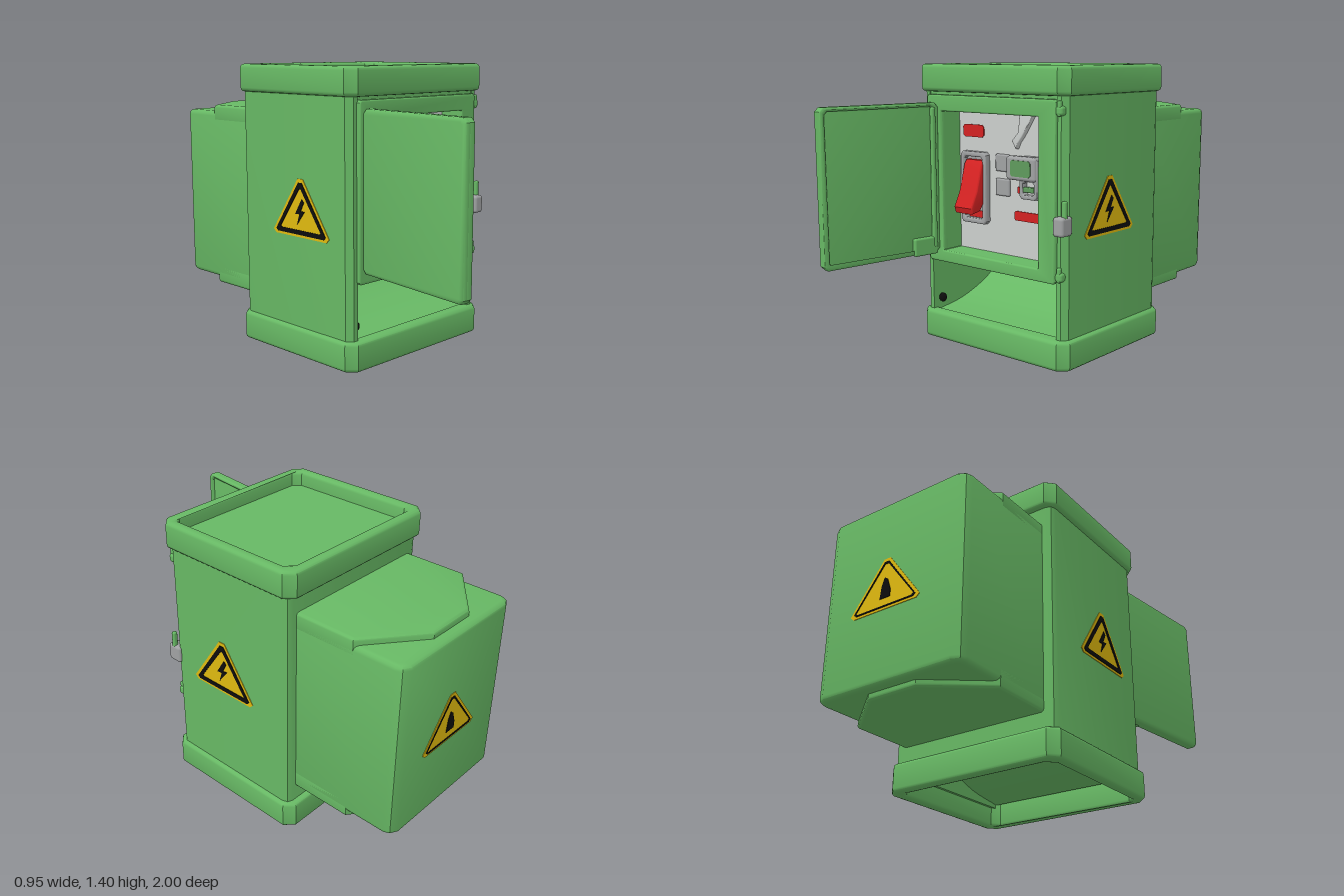
import * as THREE from 'three';
import { toCreasedNormals } from 'three/addons/utils/BufferGeometryUtils.js';
import { RoundedBoxGeometry } from 'three/addons/geometries/RoundedBoxGeometry.js';

const paint = (name, color) => {
  const m = new THREE.MeshStandardMaterial({ color });
  m.name = name;
  return m;
};

export function createModel() {
  const green = paint('green enamel', 0x67b864);
  const darkGreen = paint('screen green', 0x5f9a5c);
  const pale = paint('pale grey panel', 0xcbcfcd);
  const grey = paint('grey fittings', 0xa0a2a3);
  const red = paint('red', 0xd42222);
  const yellow = paint('warning yellow', 0xdfb90f);
  const black = paint('black', 0x0d0d0d);
  const model = new THREE.Group();

  const add = (name, geo, mat, parent = model) => {
    const m = new THREE.Mesh(geo, mat);
    m.name = name;
    parent.add(m);
    return m;
  };
  const toShape = (pts, hole) => {
    const s = new THREE.Shape(pts.map(p => new THREE.Vector2(...p)));
    if (hole) s.holes.push(new THREE.Path(hole.map(p => new THREE.Vector2(...p))));
    return s;
  };
  // Rectangle with cut corners
  const rect = (x0, x1, y0, y1, c = 0.01) => [
    [x0 + c, y0], [x1 - c, y0], [x1, y0 + c], [x1, y1 - c],
    [x1 - c, y1], [x0 + c, y1], [x0, y1 - c], [x0, y0 + c]];
  // Extrusion from z = 0 to depth, bevel kept inside the outline
  const extrude = (shape, depth, b = 0) => toCreasedNormals(
    new THREE.ExtrudeGeometry(shape, {
      depth: depth - 2 * b, bevelEnabled: b > 0, bevelSize: b, bevelThickness: b,
      bevelOffset: -b, bevelSegments: 3, curveSegments: 8,
    }).translate(0, 0, b), 0.65);
  // Plan outline (x, -z) raised from y0 to y1
  const prism = (name, shape, y0, y1, b = 0) =>
    add(name, extrude(shape, y1 - y0, b).rotateX(-Math.PI / 2).translate(0, y0, 0), green);
  // Front outline (x, y) between two depths
  const plate = (name, shape, z0, z1, mat, b = 0, parent = model) =>
    add(name, extrude(shape, z1 - z0, b).translate(0, 0, z0), mat, parent);
  const box = (name, w, h, d, x, y, z, mat, r = 0.008, parent = model) => {
    const m = add(name, new RoundedBoxGeometry(w, h, d, 2, r), mat, parent);
    m.position.set(x, y, z);
    return m;
  };

  // Cabinet shell: side and back walls, open at the front and below
  prism('cabinetWalls', toShape([
    [0.455, -0.31], [0.455, 0.385], [0.445, 0.41], [0.42, 0.42],
    [-0.42, 0.42], [-0.445, 0.41], [-0.455, 0.385], [-0.455, -0.31],
    [-0.43, -0.34], [-0.405, -0.34], [-0.405, 0.39], [0.405, 0.39], [0.405, -0.34], [0.43, -0.34],
  ]), 0.1, 1.3);

  // Base ring and cap ring with a deep sunken lid
  const ring = toShape(rect(-0.475, 0.475, -0.37, 0.45, 0.045), rect(-0.42, 0.42, -0.33, 0.395, 0.035));
  prism('baseRing', ring, 0, 0.145, 0.02);
  prism('capRing', ring, 1.265, 1.4, 0.02);
  prism('sunkenLid', toShape(rect(-0.435, 0.435, -0.345, 0.405, 0.035)), 1.28, 1.325);

  // Front face with window and the recess behind it
  const windowHole = rect(-0.31, 0.31, 0.47, 1.17, 0.002);
  plate('frontFace', toShape(rect(-0.415, 0.415, 0.41, 1.28, 0.002), windowHole), 0.31, 0.335, green);
  plate('frontFrame', toShape(rect(-0.41, 0.41, 0.41, 1.25, 0.012), windowHole), 0.32, 0.36, green, 0.008);
  plate('recessWalls', toShape(rect(-0.4, 0.4, 0.42, 1.2), windowHole), 0.22, 0.325, green);
  box('panel', 0.64, 0.72, 0.02, 0, 0.82, 0.22, pale, 0.002);

  // Sloping inner sheet seen through the lower opening
  const curve = new THREE.CatmullRomCurve3([[0.33, 0.13], [0.1, 0.17], [-0.12, 0.28], [-0.22, 0.46]]
    .map(([z, y]) => new THREE.Vector3(-z, y, 0))).getPoints(14);
  const sheet = [...curve.map(p => [p.x, p.y]), ...curve.reverse().map(p => [p.x + 0.012, p.y - 0.012])];
  add('innerSlope', extrude(toShape(sheet), 0.82).rotateY(Math.PI / 2).translate(-0.41, 0, 0), green);
  const cable = add('cableEnd', new THREE.SphereGeometry(0.02, 12, 8), black);
  cable.position.set(-0.38, 0.2, 0.3);
  cable.scale.set(1, 1.2, 1);

  // Rear housing with raised top and bottom plates
  prism('rearHousing', toShape([[-0.4, 0.4], [0.4, 0.4], [0.4, 0.944], [0.388, 0.974], [0.35, 0.994],
    [-0.35, 0.994], [-0.388, 0.974], [-0.4, 0.944]]), 0.252, 1.148, 0.025);
  const raised = toShape([[-0.4, 0.4], [0.4, 0.4], [0.4, 0.73], [0.13, 0.94], [-0.13, 0.94], [-0.4, 0.73]]);
  prism('rearTopPlate', raised, 1.09, 1.182, 0.015);
  prism('rearBottomPlate', raised, 0.222, 0.32, 0.015);

  // Open door: slab with a raised rim on its inner side
  const door = new THREE.Group();
  door.name = 'door';
  door.position.set(-0.36, 0, 0.355);
  door.rotation.y = -0.13;
  model.add(door);
  const leaf = (name, shape, x, t, b) =>
    add(name, extrude(shape, t, b).rotateY(-Math.PI / 2).translate(x, 0, 0), green, door);
  const doorOutline = rect(0, 0.651, 0.46, 1.212, 0.02);
  leaf('doorSlab', toShape(doorOutline), 0.015, 0.045, 0.018);
  leaf('doorRim', toShape(doorOutline, rect(0.03, 0.625, 0.48, 1.192, 0.015)), 0.03, 0.04, 0.01);
  box('doorBracket', 0.03, 0.09, 0.14, 0.025, 0.5, 0.09, green, 0.01, door);
  box('doorSeal', 0.025, 0.7, 0.025, 0.03, 0.84, 0.035, green, 0.01, door);

  // Corner knuckles and latch on the closing side
  for (const y of [0.445, 1.2]) {
    box('knuckle', 0.04, 0.045, 0.045, 0.425, y, 0.335, green, 0.015);
    box('knucklePin', 0.022, 0.07, 0.022, 0.425, y + 0.01, 0.345, green, 0.008);
  }
  box('latch', 0.06, 0.09, 0.08, 0.44, 0.683, 0.34, grey, 0.015);
  box('latchLever', 0.025, 0.1, 0.022, 0.455, 0.75, 0.345, green, 0.008);

  // Switch with tilted lever in a grey frame
  plate('switchFrame', toShape(rect(-0.275, -0.105, 0.61, 0.97, 0.015), rect(-0.25, -0.13, 0.635, 0.945)),
    0.225, 0.265, grey, 0.008);
  box('switchBed', 0.13, 0.32, 0.012, -0.19, 0.79, 0.232, grey, 0.003);
  box('switchLabel', 0.1, 0.035, 0.008, -0.188, 0.655, 0.238, red, 0.003);
  const lever = [[0.235, 0.93], [0.235, 0.75], [0.285, 0.68], [0.34, 0.67], [0.35, 0.7], [0.31, 0.78], [0.275, 0.91], [0.26, 0.93]];
  add('switchLever', extrude(toShape(lever.map(([z, y]) => [-z, y])), 0.12, 0.008)
    .rotateY(Math.PI / 2).translate(-0.24, 0, 0), red);

  // Labels, buttons and the meter
  const z = 0.231;
  plate('upperLabel', toShape(rect(-0.28, -0.14, 1.04, 1.102, 0.012)), z, z + 0.005, red);
  plate('lowerLabel', toShape(rect(0.06, 0.242, 0.651, 0.697, 0.008)), z, z + 0.005, red);
  plate('smallLabel', toShape(rect(0.08, 0.118, 0.785, 0.817, 0.004)), z, z + 0.005, red);
  for (const y of [0.925, 0.805]) box('button', 0.09, 0.085, 0.02, -0.015, y, 0.232, grey, 0.009);
  box('meterCase', 0.185, 0.115, 0.05, 0.13, 0.91, 0.25, grey, 0.015);
  plate('meterScreen', toShape(rect(0.07, 0.195, 0.872, 0.95)), 0.274, 0.279, darkGreen);
  plate('socketFrame', toShape(rect(0.115, 0.225, 0.765, 0.97, 0.015), rect(0.135, 0.205, 0.785, 0.85)),
    0.225, 0.265, grey, 0.006);
  box('socketKey', 0.065, 0.025, 0.03, 0.165, 0.81, 0.245, darkGreen, 0.006);
  const conduit = [[0.06, 1.04], [0.085, 1.0], [0.1, 1.03], [0.125, 1.06], [0.2, 1.175], [0.11, 1.175], [0.1, 1.08]];
  plate('conduit', toShape(conduit), 0.225, 0.255, pale, 0.005);

  // Warning signs on both sides and the back
  const bolt = [[0.012, 0.185], [-0.035, 0.11], [-0.005, 0.112], [-0.022, 0.06], [0.032, 0.128], [0.004, 0.126], [0.026, 0.17]];
  const flame = [[-0.028, 0.06], [0.03, 0.06], [0.03, 0.1], [0.012, 0.16], [-0.005, 0.175], [-0.02, 0.13]];
  const triangle = (w, y0, y1, c) => [[-w + c, y0], [w - c, y0], [w, y0 + c], [c, y1], [-c, y1], [-w, y0 + c]];
  const sign = (x, y, zz, turn, height, symbol, inner) => {
    const g = new THREE.Group();
    g.name = 'warningSign';
    g.position.set(x, y, zz);
    g.rotation.y = turn;
    g.scale.y = height / 0.28;
    model.add(g);
    plate('signPlate', toShape(triangle(0.197, 0, 0.28, 0.018)), -0.002, 0.003, yellow, 0, g);
    plate('signBorder', toShape(triangle(0.175, 0.012, 0.262, 0.012), inner), 0, 0.006, black, 0, g);
    plate('signSymbol', toShape(symbol), 0, 0.006, black, 0, g);
  };
  const bold = triangle(0.142, 0.034, 0.232, 0.006);
  const fine = triangle(0.164, 0.02, 0.25, 0.01);
  sign(0.455, 0.6, 0, Math.PI / 2, 0.28, bolt, bold);
  sign(-0.455, 0.59, 0.01, -Math.PI / 2, 0.28, bolt, bold);
  sign(0.02, 0.595, -0.994, Math.PI, 0.25, flame, fine);

  return model;
}
